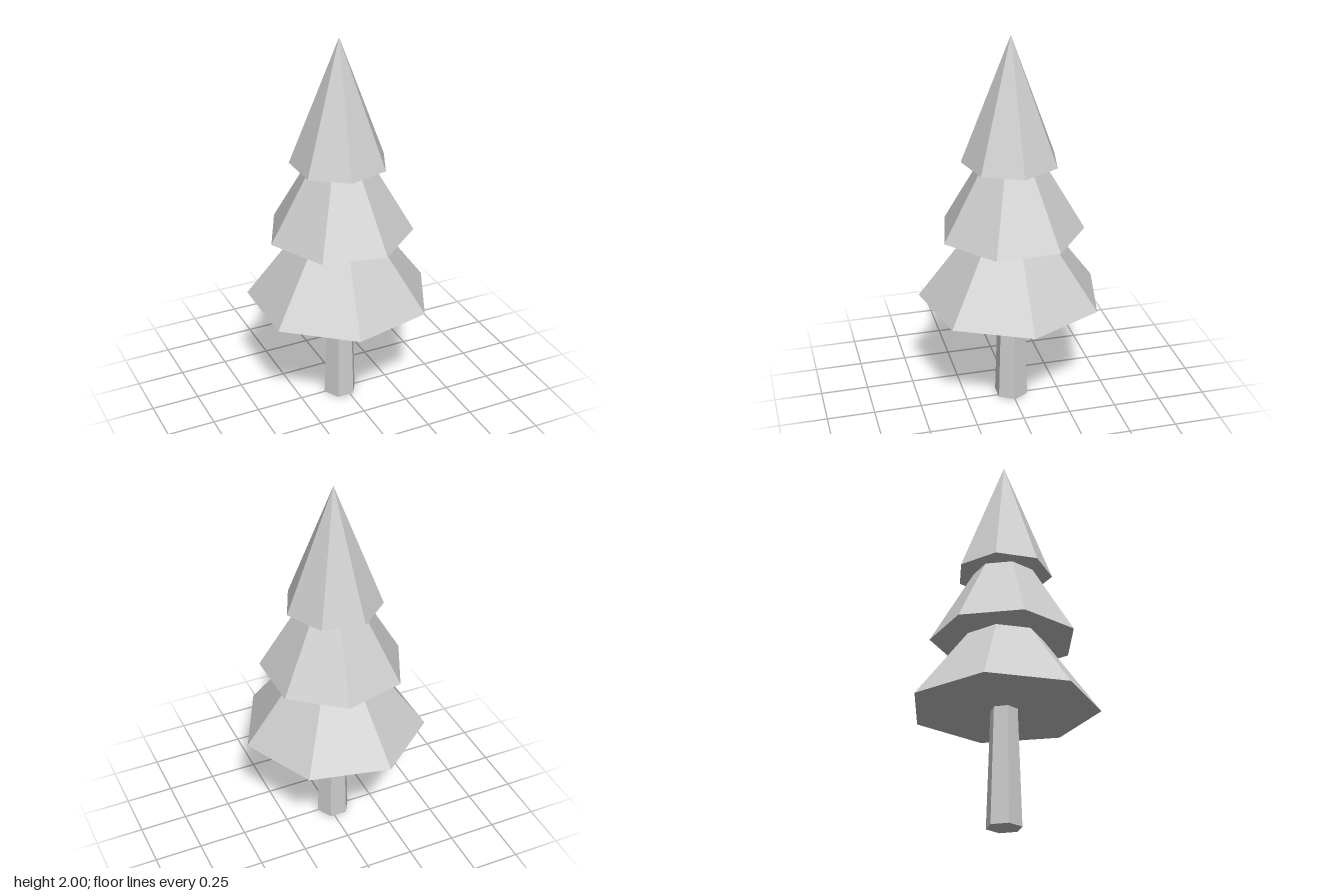
import * as THREE from 'three';

// Faceted conifer: a tapered trunk under three stacked, closed cones.
export function createModel() {
  const tree = new THREE.Group();
  tree.name = 'tree';
  const paleGrey = new THREE.MeshStandardMaterial({ color: 0xcccccc, flatShading: true });
  paleGrey.name = 'paleGrey';

  // Closed tapered prism whose first corner sits at the given angle from +x towards +z
  function addPrism(name, topRadius, bottomRadius, bottom, height, sides, degrees) {
    const start = Math.PI / 2 - THREE.MathUtils.degToRad(degrees);
    const geometry = new THREE.CylinderGeometry(
      topRadius, bottomRadius, height, sides, 1, false, start);
    const mesh = new THREE.Mesh(geometry, paleGrey);
    mesh.name = name;
    mesh.position.set(-0.024, bottom + height / 2, 0);
    tree.add(mesh);
  }

  // Six-sided trunk
  addPrism('trunk', 0.07, 0.09, 0, 0.6, 6, 0);

  // Seven-sided foliage tiers, each turned a little from the one below
  const tiers = [
    { name: 'lowerFoliage', radius: 0.482, turn: 0 },
    { name: 'middleFoliage', radius: 0.376, turn: 25 },
    { name: 'upperFoliage', radius: 0.25, turn: -1.6 },
  ];
  tiers.forEach(({ name, radius, turn }, i) => {
    addPrism(name, 0, radius, 0.6 + i * 0.375, 0.65, 7, turn);
  });

  return tree;
}
